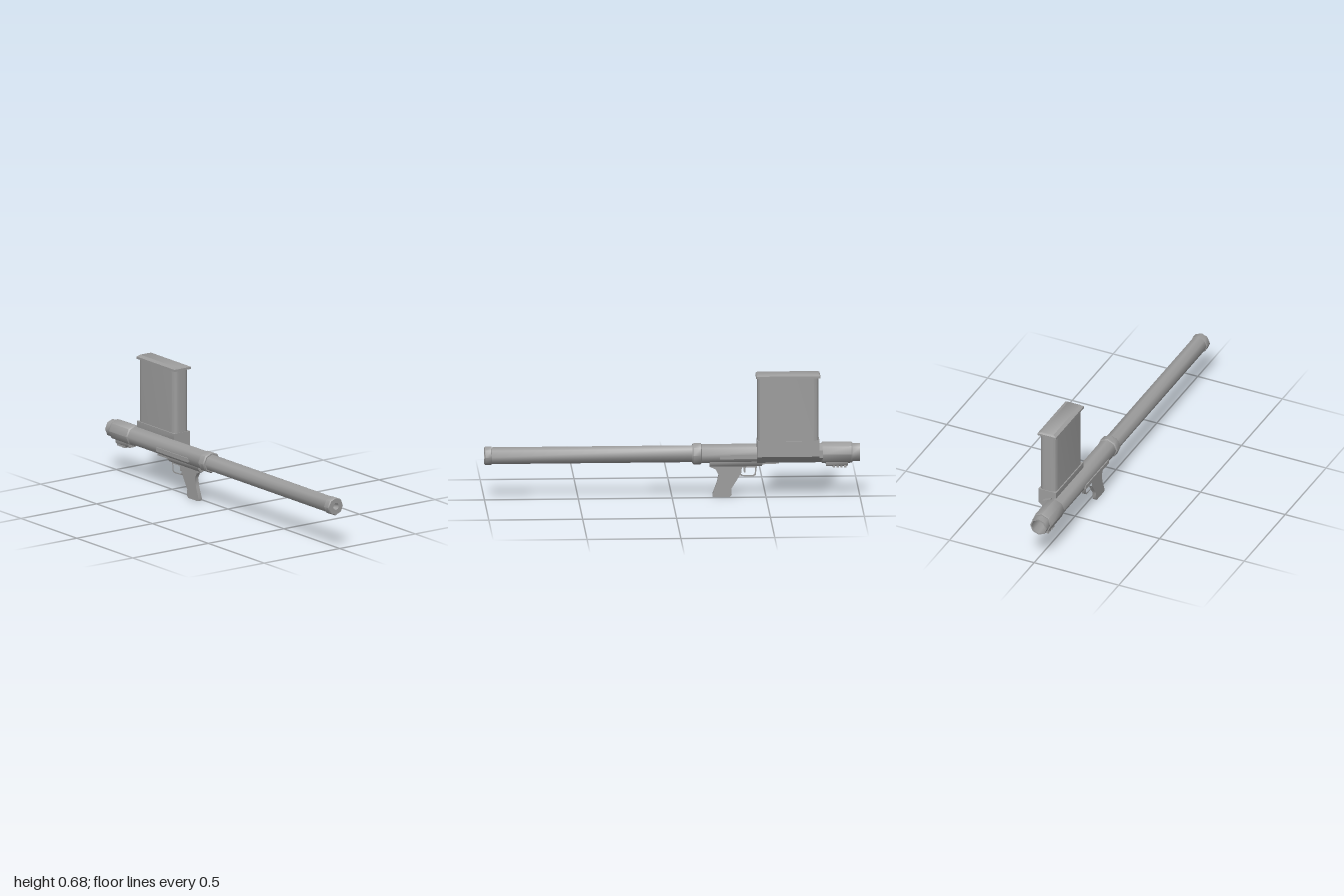
import * as THREE from 'three';
import { toCreasedNormals, mergeVertices } from 'three/addons/utils/BufferGeometryUtils.js';

const AX = -0.025, AY = 0.235; // tube axis

export function createModel() {
  const model = new THREE.Group();
  model.name = 'tubeLauncherToy';
  const grey = new THREE.MeshStandardMaterial({ color: 0x9c9c9c });
  grey.name = 'grey';

  const add = (name, geo, x = 0, y = 0, z = 0) => {
    const mesh = new THREE.Mesh(toCreasedNormals(geo, 0.83), grey);
    mesh.name = name;
    mesh.position.set(x, y, z);
    model.add(mesh);
    return mesh;
  };
  const box = (name, w, h, d, x, y, z) => add(name, new THREE.BoxGeometry(w, h, d), x, y, z);
  // eight-sided turned part along z, given [radius, z] from back to front
  const turned = (name, pts) => {
    const g = new THREE.LatheGeometry(pts.map(([r, z]) => new THREE.Vector2(r, z)), 8);
    add(name, g.rotateX(Math.PI / 2), AX, AY, 0);
  };
  const shapeOf = (pts) => new THREE.Shape(pts.map(([a, b]) => new THREE.Vector2(a, b)));
  // xy outline swept from z0 to z1
  const alongZ = (name, pts, z0, z1) =>
    add(name, new THREE.ExtrudeGeometry(shapeOf(pts), { depth: z1 - z0, bevelEnabled: false }), 0, 0, z0);
  // zy outline swept across x, centred on the tube axis
  const acrossX = (name, shape, width) => {
    const g = new THREE.ExtrudeGeometry(shape, { depth: width, bevelEnabled: false });
    add(name, g.translate(0, 0, -width / 2).rotateY(-Math.PI / 2), AX);
  };

  // Barrel with muzzle cap and recessed bore
  turned('barrel', [[0.046, -0.15], [0.046, 0.962]]);
  turned('muzzleCap', [[0.044, 0.96], [0.05, 0.962], [0.05, 0.994], [0.046, 1], [0.019, 1], [0.011, 0.97], [0, 0.97]]);
  // Collar between barrel and receiver
  turned('collar', [[0.05, -0.158], [0.058, -0.153], [0.058, -0.115], [0.053, -0.108], [0.045, -0.108]]);
  turned('receiver', [[0.052, -0.8], [0.052, -0.15]]);
  // Rear sleeve and hollow tail
  turned('rearSleeve', [[0.048, -0.96], [0.055, -0.96], [0.058, -0.953], [0.058, -0.8], [0.05, -0.793]]);
  turned('tail', [[0, -0.85], [0.037, -0.85], [0.041, -1], [0.049, -1], [0.049, -0.955]]);

  // Magazine housing leaning off the left side of the receiver
  alongZ('magazineHousing', [
    [-0.025, 0.24], [0.012, 0.192], [0.022, 0.192], [0.08, 0.235], [0.08, 0.32], [-0.025, 0.32],
  ], -0.782, -0.45);
  alongZ('housingTail', [[0, 0.2], [0.02, 0.2], [0.05, 0.222], [0.05, 0.262], [0, 0.285]], -0.8, -0.78);

  // Magazine body with rounded corners
  const w = 0.0475, d = 0.163, r = 0.03;
  const s = new THREE.Shape();
  s.moveTo(-w + r, -d);
  s.lineTo(w - r, -d);
  s.quadraticCurveTo(w, -d, w, -d + r);
  s.lineTo(w, d - r);
  s.quadraticCurveTo(w, d, w - r, d);
  s.lineTo(-w + r, d);
  s.quadraticCurveTo(-w, d, -w, d - r);
  s.lineTo(-w, -d + r);
  s.quadraticCurveTo(-w, -d, -w + r, -d);
  const body = new THREE.ExtrudeGeometry(s, { depth: 0.35, bevelEnabled: false, curveSegments: 6 });
  add('magazineBody', body.rotateX(-Math.PI / 2), 0.0285, 0.315, -0.615);

  // Magazine lid: a rim with a tapered crown
  box('lidRim', 0.109, 0.012, 0.342, 0.029, 0.668, -0.615);
  const crown = new THREE.BoxGeometry(0.109, 0.009, 0.342);
  const p = crown.attributes.position;
  for (let i = 0; i < p.count; i++) {
    if (p.getY(i) > 0) p.setXYZ(i, p.getX(i) * 0.65, p.getY(i), p.getZ(i) * 0.95);
  }
  add('lidCrown', crown, 0.029, 0.6785, -0.615);

  // Side rails
  for (const side of [-1, 1]) {
    box('sideRail', 0.016, 0.022, 0.28, AX + side * 0.049, 0.226, -0.393);
  }

  // Pistol grip with trigger guard
  const grip = shapeOf([
    [-0.2, 0.188], [-0.2, 0.165], [-0.232, 0.15], [-0.248, 0.12], [-0.238, 0.075], [-0.215, 0.015],
    [-0.217, 0.002], [-0.225, 0], [-0.308, 0], [-0.318, 0.012], [-0.316, 0.045], [-0.335, 0.075],
    [-0.362, 0.118], [-0.37, 0.112], [-0.435, 0.11], [-0.446, 0.118], [-0.452, 0.165], [-0.5, 0.178], [-0.5, 0.188],
  ]);
  const hole = [[-0.372, 0.16], [-0.368, 0.125], [-0.378, 0.118], [-0.43, 0.118], [-0.44, 0.126], [-0.442, 0.16]];
  grip.holes.push(new THREE.Path(hole.map(([a, b]) => new THREE.Vector2(a, b))));
  acrossX('grip', grip, 0.022);
  acrossX('trigger', shapeOf([[-0.385, 0.165], [-0.38, 0.145], [-0.384, 0.13], [-0.39, 0.13], [-0.394, 0.165]]), 0.008);
  // Mounting strip above the grip
  alongZ('gripMount', [
    [AX - 0.011, 0.166], [AX + 0.011, 0.166], [AX + 0.025, 0.184], [AX + 0.025, 0.2], [AX - 0.025, 0.2], [AX - 0.025, 0.184],
  ], -0.48, -0.2);
  box('mountStrip', 0.04, 0.016, 0.37, AX, 0.188, -0.385);

  // Rear catch with grip ridges
  alongZ('rearCatch', [
    [AX - 0.02, 0.165], [AX + 0.02, 0.165], [AX + 0.027, 0.172], [AX + 0.027, 0.195], [AX - 0.027, 0.195], [AX - 0.027, 0.172],
  ], -0.935, -0.82);
  for (let i = 0; i < 4; i++) {
    box('catchRidge', 0.05, 0.012, 0.012, AX, 0.163, -0.862 - i * 0.02);
  }
  return model;
}
